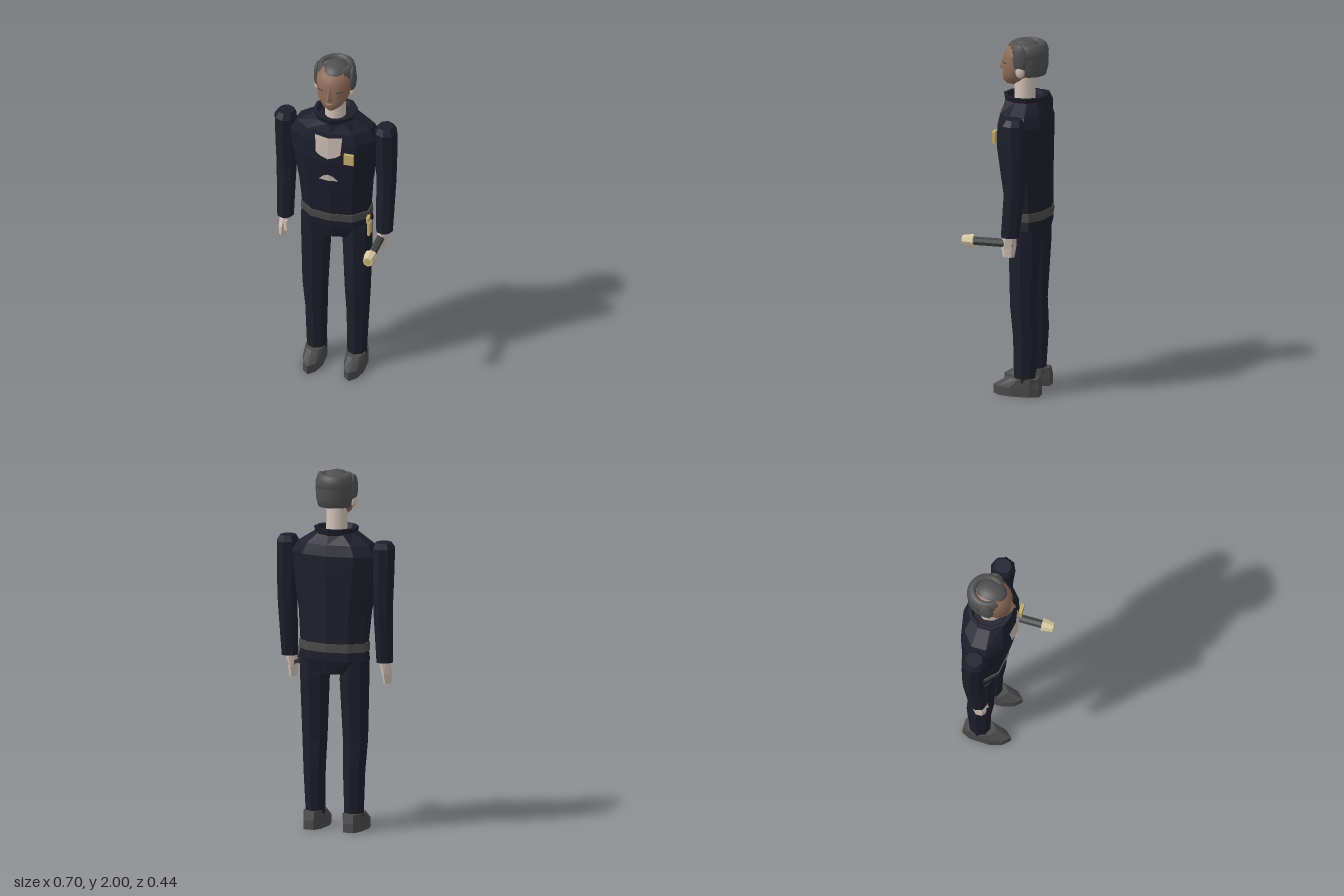
import * as THREE from 'three';

const mat = (name, color, side = THREE.FrontSide) => {
  const m = new THREE.MeshStandardMaterial({ color, side });
  m.name = name;
  return m;
};

// Skin over closed rings of [x, y, z], ordered bottom to top, with both ends capped
function loft(rings, smooth = false) {
  const n = rings[0].length, pos = rings.flat(2), idx = [];
  for (let i = 0; i < rings.length - 1; i++) {
    for (let j = 0; j < n; j++) {
      const a = i * n + j, b = i * n + (j + 1) % n;
      idx.push(a, b, b + n, a, b + n, a + n);
    }
  }
  const top = (rings.length - 1) * n;
  for (let j = 1; j < n - 1; j++) idx.push(0, j + 1, j, top, top + j, top + j + 1);
  const g = new THREE.BufferGeometry();
  g.setAttribute('position', new THREE.Float32BufferAttribute(pos, 3));
  g.setIndex(idx);
  return smooth ? (g.computeVertexNormals(), g) : flat(g);
}

function flat(g) {
  const f = g.index ? g.toNonIndexed() : g;
  f.computeVertexNormals();
  return f;
}

// Elliptical ring: centre (cx, y, cz), radii rx, rz
const oval = (n, y, cx, cz, rx, rz, turn = 0) => Array.from({ length: n }, (_, j) => {
  const a = (j / n) * Math.PI * 2 + turn;
  return [cx + Math.sin(a) * rx, y, cz + Math.cos(a) * rz];
});

// Ten-sided body section from half width, front z and back z
const BODY = [[0, 1], [0.62, 0.85], [1, 0.3], [1, -0.33], [0.62, -0.8],
  [0, -1], [-0.62, -0.8], [-1, -0.33], [-1, 0.3], [-0.62, 0.85]];
const bodyRing = ([y, w, zf, zb]) =>
  BODY.map(([x, z]) => [x * w, y, (zf + zb) / 2 + z * (zf - zb) / 2]);

export function createModel() {
  const model = new THREE.Group();
  model.name = 'uniformedMan';
  const navy = mat('navy cloth', 0x1e1e2c);
  const grey = mat('grey hair', 0x505050, THREE.DoubleSide);
  const leather = mat('dark leather', 0x4a4a4a);
  const face = mat('brown skin', 0x8f6c5a);
  const pale = mat('pale skin', 0xd2c3b9);
  const shirt = mat('shirt', 0xc4b6b0, THREE.DoubleSide);
  const gold = mat('gold', 0xc2ad6c);
  const cream = mat('cream metal', 0xd2c79f);
  const dark = mat('dark metal', 0x424444);

  const add = (name, geo, m, x = 0, y = 0, z = 0, parent = model) => {
    const mesh = new THREE.Mesh(geo, m);
    mesh.name = name;
    mesh.position.set(x, y, z);
    parent.add(mesh);
    return mesh;
  };

  // Jacket, collar and belt
  add('jacket', loft([
    [0.88, 0.115, 0.0, -0.195], [0.955, 0.198, 0.022, -0.213], [1.03, 0.186, 0.032, -0.215],
    [1.22, 0.2, 0.06, -0.217], [1.42, 0.232, 0.083, -0.218], [1.54, 0.246, 0.076, -0.217],
    [1.6, 0.21, 0.064, -0.2], [1.66, 0.115, 0.045, -0.175],
  ].map(bodyRing)), navy);
  add('belt', loft([[1.005, 0.195, 0.036, -0.22], [1.053, 0.194, 0.042, -0.22]].map(bodyRing)), leather);
  const collar = [[0.112, 1.635], [0.124, 1.685], [0.104, 1.685], [0.088, 1.65]];
  add('collar', flat(new THREE.LatheGeometry(collar.map(p => new THREE.Vector2(...p)), 10)), navy, 0, 0, -0.065);

  // Shirt panels, folded along the centre line
  const panel = (name, pts) => {
    const p = [], n = pts.length;
    for (const s of [-1, 1]) {
      for (let i = 1; i < n - 1; i++) p.push(...[0, i, i + 1].flatMap(k => [pts[k][0] * s, pts[k][1], pts[k][2]]));
    }
    const g = new THREE.BufferGeometry();
    g.setAttribute('position', new THREE.Float32BufferAttribute(p, 3));
    add(name, flat(g), shirt);
  };
  panel('shirtFront', [[0, 1.582, 0.082], [0, 1.45, 0.092], [0.045, 1.463, 0.085],
    [0.07, 1.482, 0.081], [0.078, 1.588, 0.068]]);
  panel('lowerShirt', [[0, 1.343, 0.084], [0, 1.3, 0.08], [0.055, 1.3, 0.071], [0.03, 1.33, 0.079]]);
  add('chestBadge', new THREE.BoxGeometry(0.056, 0.064, 0.018), gold, 0.118, 1.461, 0.079);

  // Hip pouch
  add('hipPouch', new THREE.BoxGeometry(0.016, 0.035, 0.04), gold, 0.197, 1.012, -0.03);
  add('hipTag', new THREE.BoxGeometry(0.014, 0.08, 0.045), gold, 0.204, 0.958, -0.03);

  // Limbs
  const FOOT = [[0, 0.087], [0.036, 0.05], [0.056, -0.02], [0.052, -0.13], [0.03, -0.18],
    [-0.03, -0.18], [-0.052, -0.13], [-0.056, -0.02], [-0.036, 0.05]];
  for (const s of [-1, 1]) {
    const side = s > 0 ? 'left' : 'right';
    const tube = (n, rows) => loft(rows.map(([y, cx, cz, rx, rz]) => oval(n, y, cx * s, cz, rx, rz)));
    add(side + 'Arm', tube(8, [
      [0.945, 0.283, -0.053, 0.048, 0.052], [1.25, 0.285, -0.082, 0.057, 0.06],
      [1.4, 0.287, -0.08, 0.061, 0.064], [1.585, 0.287, -0.073, 0.064, 0.069],
      [1.618, 0.285, -0.075, 0.045, 0.05]]), navy);
    add(side + 'Leg', tube(8, [
      [0.08, 0.115, -0.09, 0.056, 0.06], [0.33, 0.118, -0.095, 0.064, 0.07],
      [0.5, 0.121, -0.083, 0.074, 0.074], [0.85, 0.118, -0.09, 0.087, 0.09],
      [0.955, 0.122, -0.09, 0.083, 0.088]]), navy);
    add(side + 'Hand', tube(6, [
      [0.825, s > 0 ? 0.267 : 0.294, -0.04, 0.02, 0.033], [0.88, s > 0 ? 0.268 : 0.29, -0.042, 0.026, 0.042],
      [0.96, 0.28, -0.053, 0.03, 0.038]]), pale);
    add(side + 'Thumb', tube(6, [
      [0.865, 0.265, -0.005, 0.009, 0.01], [0.925, 0.272, -0.018, 0.012, 0.014]]), pale);
    add(side + 'Shoe', loft([[0, 1, 1, 0], [0.05, 1, 1, 0], [0.1, 0.95, 0.66, -0.052]].map(
      ([y, w, d, o]) => FOOT.map(([x, z]) => [0.117 * s + x * w, y, z * d + o]))), leather);
  }

  // Torch held in the left hand
  const torch = new THREE.Group();
  torch.name = 'torch';
  torch.position.set(0.268, 0.903, 0);
  torch.rotation.x = Math.PI / 2;
  model.add(torch);
  add('torchBody', flat(new THREE.CylinderGeometry(0.024, 0.024, 0.23, 8)), dark, 0, 0.045, 0, torch);
  add('torchHead', flat(new THREE.CylinderGeometry(0.028, 0.039, 0.065, 8)), cream, 0, 0.1875, 0, torch);
  add('torchLens', new THREE.CylinderGeometry(0.02, 0.02, 0.004, 8), gold, 0, 0.22, 0, torch);

  // Head
  add('neck', new THREE.CylinderGeometry(0.058, 0.06, 0.17, 12), pale, 0, 1.705, -0.06);
  add('face', loft([
    [1.743, 0.03, 0.045, -0.05], [1.765, 0.058, 0.062, -0.08], [1.8, 0.082, 0.062, -0.11],
    [1.85, 0.098, 0.06, -0.15], [1.9, 0.102, 0.058, -0.165], [1.95, 0.095, 0.042, -0.155],
    [1.98, 0.06, 0.005, -0.12],
  ].map(([y, w, f, b]) => oval(18, y, 0, (f + b) / 2, w, (f - b) / 2)), true), face);
  add('nose', loft([oval(6, 1.82, 0, 0.05, 0.019, 0.031), oval(6, 1.835, 0, 0.05, 0.017, 0.034),
    oval(6, 1.89, 0, 0.048, 0.008, 0.014)]), face);
  add('lips', new THREE.SphereGeometry(0.02, 10, 6), face, 0, 1.792, 0.055).scale.set(1.3, 0.4, 0.7);

  // Hair: crown, upper band open at the front, and lower back
  add('crownHair', new THREE.SphereGeometry(1, 24, 14, 0, Math.PI * 2, 0, Math.PI * 0.55), grey, 0.003, 1.945, -0.057)
    .scale.set(0.077, 0.055, 0.09);
  const band = (name, pts, start) => add(name, new THREE.LatheGeometry(
    pts.map(p => new THREE.Vector2(...p)), 24, start, Math.PI * 2 - 2 * start), grey, 0, 0, -0.08).scale.z = 1.03;
  band('hairBand', [[0.092, 1.9], [0.107, 1.905], [0.109, 1.94], [0.1, 1.972], [0.085, 1.984],
    [0.068, 1.984], [0.062, 1.965]], 0.72);
  band('backHair', [[0.08, 1.8], [0.095, 1.803], [0.106, 1.85], [0.109, 1.91]], Math.PI * 0.53);

  for (const s of [-1, 1]) {
    const side = s > 0 ? 'left' : 'right';
    add(side + 'SideHair', new THREE.SphereGeometry(1, 14, 10), grey, s * 0.1, 1.905, -0.06).scale.set(0.02, 0.078, 0.042);
    add(side + 'Ear', new THREE.SphereGeometry(1, 12, 8), pale, s * 0.101, 1.838, -0.06).scale.set(0.016, 0.04, 0.027);
    const eye = add(side + 'Eye', new THREE.BoxGeometry(0.036, 0.005, 0.006), dark, s * 0.055, 1.868, 0.04);
    eye.rotation.y = s * 0.6;
  }
  return model;
}
